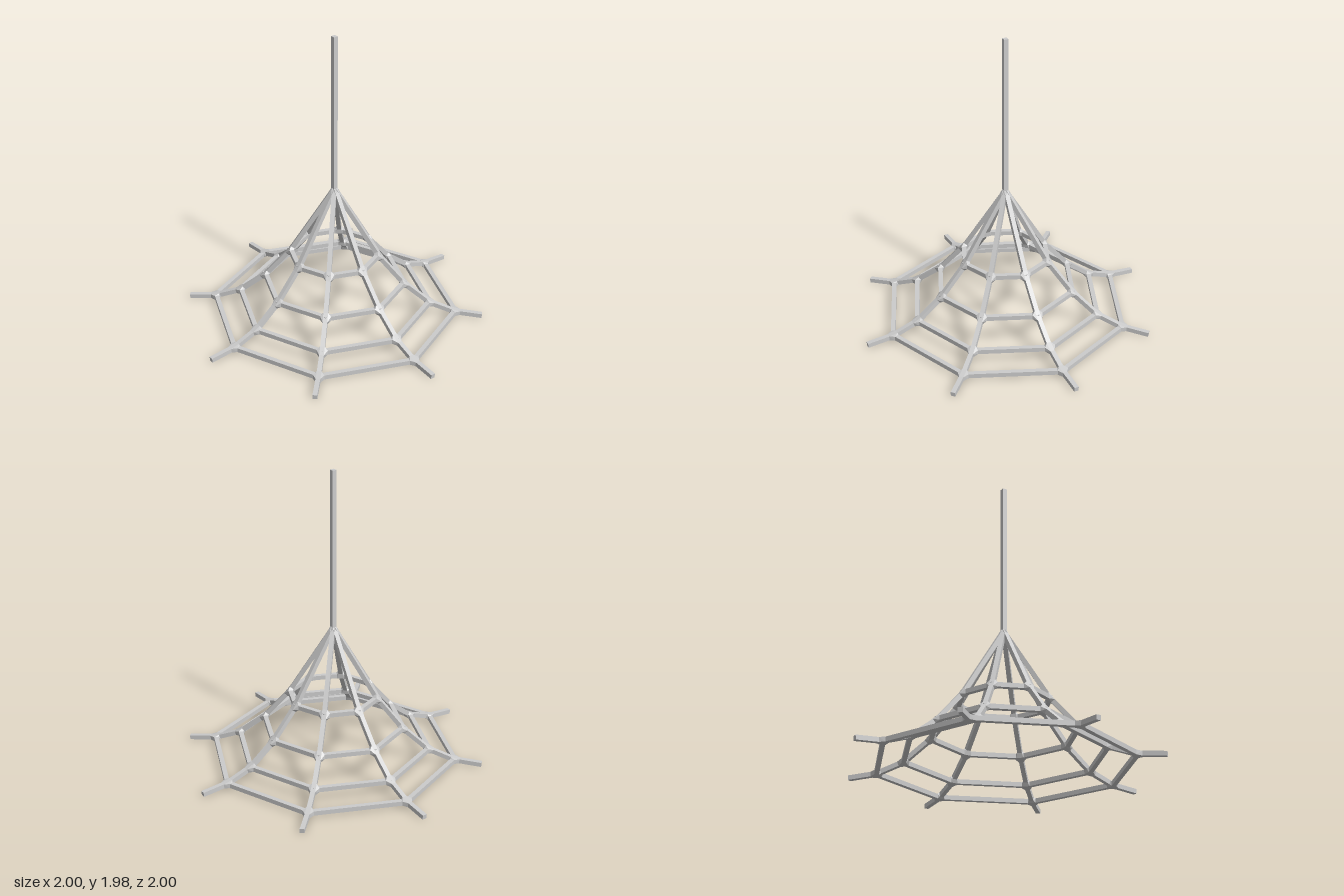
import * as THREE from 'three';
import { ConvexGeometry } from 'three/addons/geometries/ConvexGeometry.js';

const H = 0.015; // half thickness of every bar
const V = (x, y, z = 0) => new THREE.Vector3(x, y, z);

// spoke path from the apex to the foot, as radius and height
const path = [[0, 0.925], [0.295, 0.438], [0.47, 0.233], [0.645, 0.094], [0.82, 0.032], [1, 0.017]]
  .map(([r, y]) => new THREE.Vector2(r, y));
const dirs = path.slice(1).map((p, i) => p.clone().sub(path[i]).normalize());

// spoke outline with mitred bends, extruded to a square bar
function spokeGeometry() {
  const upper = [], lower = [];
  path.forEach((p, i) => {
    const a = dirs[Math.max(i - 1, 0)], b = dirs[Math.min(i, dirs.length - 1)];
    const t = a.clone().add(b).normalize();
    const n = new THREE.Vector2(-t.y, t.x).multiplyScalar(H / t.dot(a));
    upper.push(p.clone().add(n));
    lower.unshift(p.clone().sub(n));
  });
  const shape = new THREE.Shape([...lower, ...upper]);
  return new THREE.ExtrudeGeometry(shape, { depth: 2 * H, bevelEnabled: false }).translate(0, 0, -H);
}

// flat octagonal ring with its corners on the spokes
function ringGeometry(r) {
  const d = H / Math.cos(Math.PI / 8);
  const octagon = (radius) => Array.from({ length: 8 }, (_, i) =>
    new THREE.Vector2(radius * Math.cos(i * Math.PI / 4), radius * Math.sin(i * Math.PI / 4)));
  const shape = new THREE.Shape(octagon(r + d));
  shape.holes.push(new THREE.Path(octagon(r - d)));
  return new THREE.ExtrudeGeometry(shape, { depth: 2 * H, bevelEnabled: false })
    .translate(0, 0, -H).rotateX(-Math.PI / 2);
}

// faceted knuckle: hull around the four bar ends that meet at a node
function jointGeometry(i) {
  const node = V(path[i].x, path[i].y), points = [];
  const arm = (dir, up) => {
    const side = dir.clone().cross(up).normalize();
    for (const s of [-H, H]) for (const u of [-H, H]) {
      points.push(node.clone().addScaledVector(dir, 0.033).addScaledVector(side, s).addScaledVector(up, u));
    }
  };
  const inward = dirs[i - 1], outward = dirs[i];
  arm(V(-inward.x, -inward.y), V(-inward.y, inward.x));
  arm(V(outward.x, outward.y), V(-outward.y, outward.x));
  const k = Math.PI / 8;
  for (const s of [-1, 1]) arm(V(-Math.sin(k), 0, s * Math.cos(k)), V(0, 1, 0));
  return new ConvexGeometry(points);
}

export function createModel() {
  const model = new THREE.Group();
  model.name = 'webFrame';
  const material = new THREE.MeshStandardMaterial({ color: 0xcccccc, flatShading: true });
  const add = (parent, geometry, name) => {
    const mesh = new THREE.Mesh(geometry, material);
    mesh.name = name;
    parent.add(mesh);
    return mesh;
  };

  // upright rod above the apex
  const top = 1.98, base = 0.92;
  add(model, new THREE.BoxGeometry(2 * H, top - base, 2 * H), 'rod').position.y = (top + base) / 2;

  // eight spokes with a knuckle at each crossing
  const spoke = spokeGeometry();
  const joints = [1, 2, 3, 4].map(jointGeometry);
  for (let i = 0; i < 8; i++) {
    const arm = new THREE.Group();
    arm.name = 'spokeArm';
    arm.rotation.y = i * Math.PI / 4;
    add(arm, spoke, 'spoke');
    joints.forEach((g) => add(arm, g, 'joint'));
    model.add(arm);
  }

  // four rings of cross bars
  for (const p of path.slice(1, 5)) add(model, ringGeometry(p.x), 'ring').position.y = p.y;

  return model;
}
